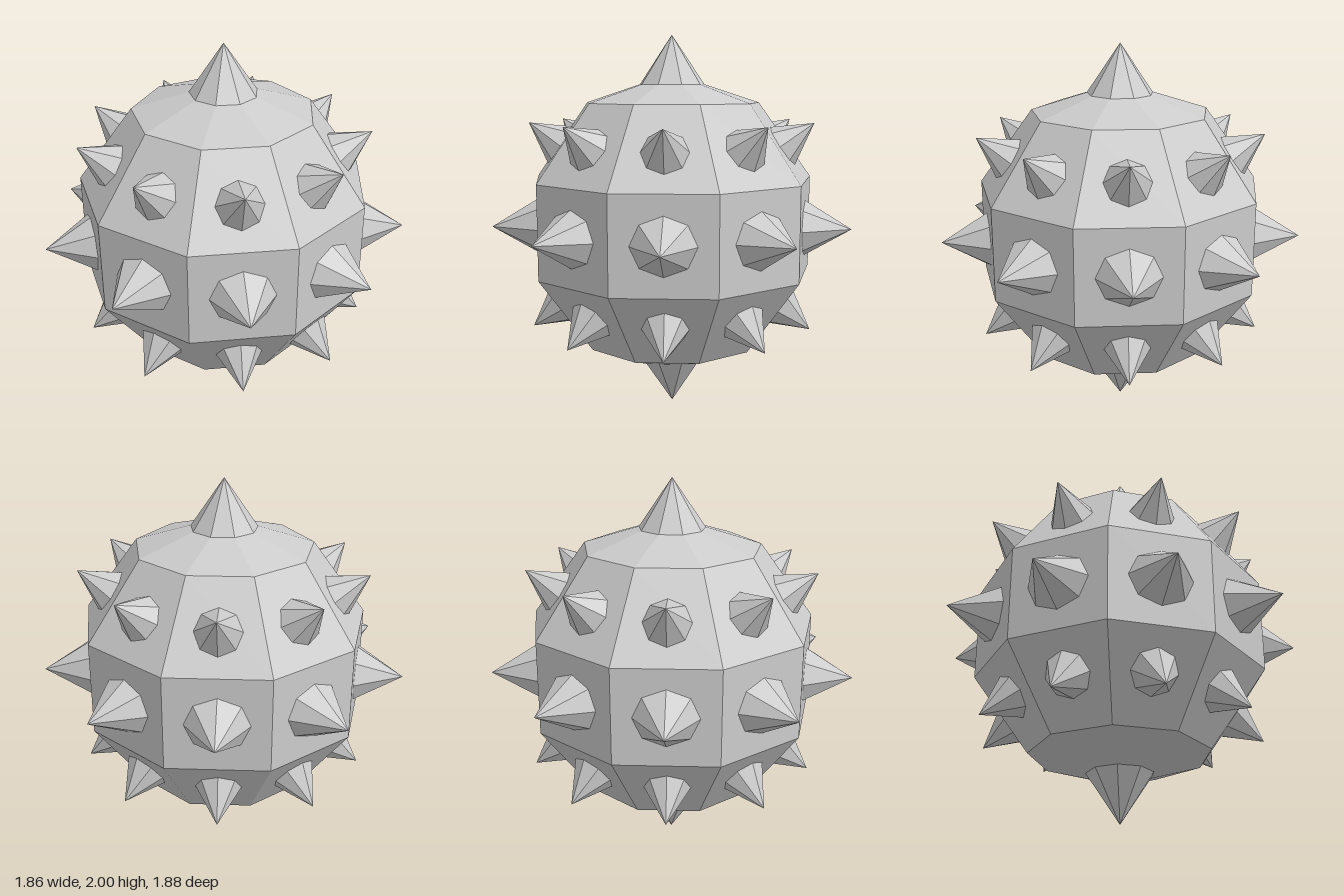
import * as THREE from 'three';

const CENTER_X = -0.03;
const SIDES = 9;

export function createModel() {
  const model = new THREE.Group();
  const ball = new THREE.Group();
  ball.name = 'spikedBall';
  ball.position.set(CENTER_X, 1, 0);
  model.add(ball);

  const material = new THREE.MeshStandardMaterial({ color: 0xcccccc, flatShading: true });

  // Faceted core: nine sides, five bands
  const core = new THREE.Mesh(new THREE.SphereGeometry(0.8, SIDES, 5), material);
  core.name = 'core';
  ball.add(core);

  // Cone along +x with its tip at the given distance from the centre
  function spikeGeometry(tip, height, radius, flatten = 1) {
    const g = new THREE.ConeGeometry(radius, height, 8);
    g.rotateZ(-Math.PI / 2);
    g.scale(1, flatten, 1);
    g.translate(tip - height / 2, 0, 0);
    return g;
  }

  // A ring of spikes, one in the middle of every face of a band
  function addRing(name, geometry, elevation) {
    const ring = new THREE.Group();
    ring.name = name;
    for (let i = 0; i < SIDES; i++) {
      const spike = new THREE.Mesh(geometry, material);
      spike.name = 'spike';
      spike.rotation.set(0, (i / SIDES) * Math.PI * 2, elevation);
      ring.add(spike);
    }
    ball.add(ring);
  }

  const large = spikeGeometry(0.957, 0.3, 0.2, 0.9);
  const small = spikeGeometry(0.93, 0.26, 0.152);
  const tilt = THREE.MathUtils.degToRad(36);
  addRing('middleSpikes', large, 0);
  addRing('upperSpikes', small, tilt);
  addRing('lowerSpikes', small, -tilt);

  // Spikes at the poles, aligned with the core's facets
  const pole = new THREE.ConeGeometry(0.204, 0.3, SIDES, 1, false, -Math.PI / 2);
  pole.translate(0, 0.85, 0);
  for (const [name, turn] of [['topSpike', 0], ['bottomSpike', Math.PI]]) {
    const spike = new THREE.Mesh(pole, material);
    spike.name = name;
    spike.rotation.x = turn;
    ball.add(spike);
  }

  return model;
}
